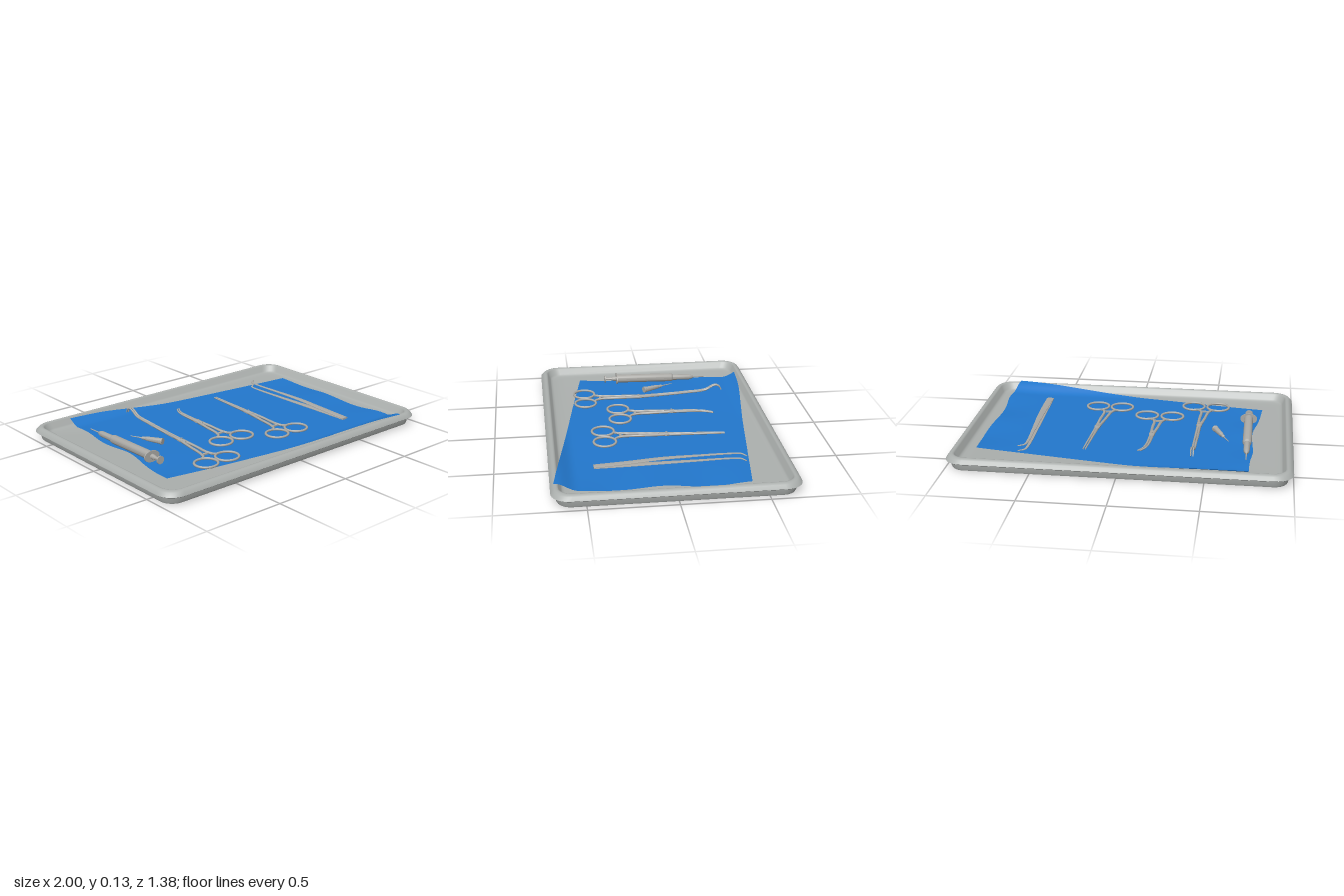
import * as THREE from 'three';
import { toCreasedNormals } from 'three/addons/utils/BufferGeometryUtils.js';

const trayMetal = new THREE.MeshStandardMaterial({ color: 0xabafad });
const steel = new THREE.MeshStandardMaterial({ color: 0xaaa9a5 });
const drapeBlue = new THREE.MeshStandardMaterial({ color: 0x2277cc, side: THREE.DoubleSide });

// Skin closed rings of points, capped at both ends
function loft(rings, crease = 0.7) {
  const n = rings[0].length, pos = [], idx = [];
  rings.forEach(r => r.forEach(p => pos.push(p.x, p.y, p.z)));
  for (let r = 0; r < rings.length - 1; r++) {
    for (let i = 0; i < n; i++) {
      const a = r * n + i, b = r * n + (i + 1) % n;
      idx.push(a, a + n, b, b, a + n, b + n);
    }
  }
  const last = (rings.length - 1) * n;
  for (let i = 1; i < n - 1; i++) {
    idx.push(0, i, i + 1, last, last + i + 1, last + i);
  }
  const g = new THREE.BufferGeometry();
  g.setAttribute('position', new THREE.Float32BufferAttribute(pos, 3));
  g.setIndex(idx);
  return toCreasedNormals(g, crease);
}

function add(parent, name, geometry, material = steel, x = 0, y = 0, z = 0) {
  const m = new THREE.Mesh(geometry, material);
  m.name = name;
  m.position.set(x, y, z);
  parent.add(m);
  return m;
}

// Oval bar along a path; each point is [x, y, z, halfWidth, halfHeight]
function bar(pts, steps = 28, sides = 8) {
  const curve = new THREE.CatmullRomCurve3(pts.map(p => new THREE.Vector3(p[0], p[1], p[2])));
  const rings = [];
  for (let k = 0; k <= steps; k++) {
    const t = k / steps, f = t * (pts.length - 1);
    const i = Math.min(Math.floor(f), pts.length - 2), q = f - i;
    const w = THREE.MathUtils.lerp(pts[i][3], pts[i + 1][3], q);
    const h = THREE.MathUtils.lerp(pts[i][4], pts[i + 1][4], q);
    const c = curve.getPoint(t), dir = curve.getTangent(t);
    const side = new THREE.Vector3().crossVectors(dir, new THREE.Vector3(0, 1, 0)).normalize();
    const up = new THREE.Vector3().crossVectors(side, dir);
    rings.push(Array.from({ length: sides }, (_, j) => {
      const a = (j + 0.5) / sides * Math.PI * 2;
      return c.clone().addScaledVector(side, w * Math.cos(a)).addScaledVector(up, h * Math.sin(a));
    }));
  }
  return loft(rings, 0.95);
}

// Rounded rectangle ring at height y
function roundedRing(hx, hz, r, y) {
  const ring = [], seg = 8;
  [[1, 1], [-1, 1], [-1, -1], [1, -1]].forEach(([sx, sz], q) => {
    for (let i = 0; i <= seg; i++) {
      const a = (q + i / seg) * Math.PI / 2;
      ring.push(new THREE.Vector3(sx * (hx - r) + r * Math.cos(a), y, sz * (hz - r) + r * Math.sin(a)));
    }
  });
  return ring;
}

// Tray: body wall, rolled rim, inner wall and floor; [inset, y, corner radius]
function makeTray() {
  const profile = [
    [0.045, 0, 0.07], [0.035, 0.004, 0.08], [0.03, 0.014, 0.085], [0.027, 0.04, 0.085], [0.025, 0.048, 0.085],
    [0.008, 0.049, 0.1], [0, 0.055, 0.105], [0.003, 0.061, 0.105], [0.014, 0.075, 0.1], [0.022, 0.081, 0.095],
    [0.032, 0.084, 0.09], [0.04, 0.083, 0.085], [0.046, 0.077, 0.08], [0.06, 0.045, 0.075],
    [0.068, 0.037, 0.07], [0.08, 0.034, 0.065], [0.108, 0.032, 0.05],
  ];
  return loft(profile.map(([d, y, r]) => roundedRing(1 - d, 0.692 - d, r, y)));
}

// Drape: a cloth sheet spanned between four edge curves, riding up the long walls
function makeDrape() {
  const edge = pts => new THREE.CatmullRomCurve3(pts.map(([x, z]) => new THREE.Vector3(x, 0, z)));
  const back = edge([[-0.745, -0.63], [-0.52, -0.615], [-0.28, -0.582], [0, -0.54], [0.43, -0.48], [0.868, -0.42]]);
  const front = edge([[-0.81, 0.43], [-0.4, 0.495], [0, 0.553], [0.43, 0.613], [0.84, 0.672]]);
  const left = edge([[-0.745, -0.63], [-0.75, -0.43], [-0.764, -0.27], [-0.755, 0], [-0.785, 0.2], [-0.81, 0.43]]);
  const right = edge([[0.868, -0.42], [0.876, -0.13], [0.856, 0.1], [0.86, 0.3], [0.872, 0.47], [0.84, 0.672]]);
  const g = new THREE.PlaneGeometry(1, 1, 60, 48), p = g.attributes.position, uv = g.attributes.uv;
  const v = new THREE.Vector3();
  for (let i = 0; i < p.count; i++) {
    const s = uv.getX(i), t = 1 - uv.getY(i);
    v.set(0, 0, 0)
      .addScaledVector(back.getPoint(s), 1 - t).addScaledVector(front.getPoint(s), t)
      .addScaledVector(left.getPoint(t), 1 - s).addScaledVector(right.getPoint(t), s)
      .addScaledVector(back.getPoint(0), -(1 - s) * (1 - t)).addScaledVector(back.getPoint(1), -s * (1 - t))
      .addScaledVector(front.getPoint(0), -(1 - s) * t).addScaledVector(front.getPoint(1), -s * t);
    const rim = THREE.MathUtils.smoothstep(Math.abs(v.z), 0.54, 0.66);
    const border = Math.pow(Math.abs(2 * s - 1), 6);
    const wave = 0.0015 * Math.sin(v.x * 5 + v.z * 3) + 0.006 * border * Math.sin(v.z * 13 + 1);
    p.setXYZ(i, v.x, 0.043 + 0.045 * rim + wave * (1 - rim), v.z);
  }
  g.computeVertexNormals();
  return g;
}

// Ring-handled forceps: two loops, two shanks, box lock and a pair of jaws
function makeForceps(name, loops, lock, jaw) {
  const g = new THREE.Group();
  g.name = name;
  const mid = (loops[0][0] + loops[1][0]) / 2;
  const [lx, lz] = lock;
  loops.forEach(([x, z], k) => {
    const s = k ? 1 : -1;
    const loop = new THREE.TorusGeometry(0.067, 0.0075, 8, 32);
    loop.rotateX(Math.PI / 2);
    add(g, 'fingerLoop', loop, steel, x, 0.054, z).scale.x = 1.04;
    add(g, 'shank', bar([
      [x + s * 0.01, 0.054, z - 0.066, 0.006, 0.006],
      [mid + s * 0.045, 0.056, z - 0.068, 0.008, 0.007],
      [mid + s * 0.024, 0.058, z - 0.105, 0.009, 0.008],
      [(mid + lx) / 2 + s * 0.016, 0.06, (z - 0.1 + lz) / 2, 0.009, 0.008],
      [lx + s * 0.007, 0.061, lz, 0.009, 0.009]]));
    const n = jaw.length;
    add(g, 'jaw', bar([[lx + s * 0.006, 0.061, lz, 0.009, 0.009],
      ...jaw.map(([px, py, pz], i) => {
        const w = 0.008 - 0.004 * (i + 1) / n;
        return [px + s * 0.007, py, pz, w, w];
      })]));
  });
  add(g, 'boxLock', bar([[lx, 0.061, lz + 0.045, 0.011, 0.009], [lx, 0.061, lz, 0.019, 0.012],
    [lx, 0.061, lz - 0.045, 0.012, 0.009]], 12));
  add(g, 'pivotScrew', new THREE.CylinderGeometry(0.007, 0.007, 0.006, 12), steel, lx, 0.073, lz);
  // Ratchet teeth between the shanks
  add(g, 'ratchet', new THREE.BoxGeometry(0.04, 0.008, 0.014), steel, mid, 0.058, loops[0][1] - 0.1);
  return g;
}

// Syringe lying along z, needle pointing to the back
function makeSyringe() {
  const g = new THREE.Group();
  g.name = 'syringe';
  const profile = [[0, -0.43], [0.003, -0.43], [0.004, -0.345], [0.011, -0.335], [0.018, -0.31], [0.019, -0.2],
    [0.024, -0.195], [0.027, -0.185], [0.027, 0.18], [0.016, 0.182], [0.014, 0.21], [0.009, 0.225], [0.009, 0.257],
    [0.024, 0.259], [0.024, 0.268], [0, 0.268]];
  const body = new THREE.LatheGeometry(profile.map(([r, z]) => new THREE.Vector2(r, z)), 20);
  body.rotateX(Math.PI / 2);
  add(g, 'barrelAndNeedle', toCreasedNormals(body, 0.6));
  const flange = new THREE.CylinderGeometry(0.034, 0.034, 0.007, 28);
  flange.rotateX(Math.PI / 2);
  add(g, 'fingerFlange', flange, steel, 0, 0, 0.185).scale.x = 1.55;
  g.position.set(-0.727, 0.073, 0);
  g.rotation.x = -0.02;
  return g;
}

// Spare needle with a tapered hub
function makeNeedle() {
  const profile = [[0, -0.11], [0.002, -0.11], [0.004, -0.035], [0.009, -0.03], [0.01, -0.005], [0.013, 0],
    [0.018, 0.095], [0.02, 0.097], [0.02, 0.108], [0, 0.108]];
  const g = new THREE.LatheGeometry(profile.map(([r, z]) => new THREE.Vector2(r, z)), 16);
  g.rotateX(Math.PI / 2);
  return toCreasedNormals(g, 0.6);
}

export function createModel() {
  const model = new THREE.Group();
  model.name = 'instrumentTray';
  add(model, 'tray', makeTray(), trayMetal);
  add(model, 'drape', makeDrape(), drapeBlue);

  // Long forceps with tips arched upward
  model.add(makeForceps('longForceps', [[-0.523, 0.42], [-0.367, 0.42]], [-0.423, 0.07], [
    [-0.422, 0.068, -0.08], [-0.42, 0.078, -0.24], [-0.419, 0.09, -0.37], [-0.418, 0.108, -0.405],
    [-0.418, 0.121, -0.435], [-0.418, 0.113, -0.463], [-0.418, 0.088, -0.478]]));
  // Curved forceps
  model.add(makeForceps('curvedForceps', [[-0.243, 0.222], [-0.082, 0.222]], [-0.148, -0.11], [
    [-0.144, 0.061, -0.2], [-0.138, 0.061, -0.27], [-0.125, 0.061, -0.325], [-0.1, 0.061, -0.37]]));
  // Straight forceps
  model.add(makeForceps('straightForceps', [[0.095, 0.345], [0.252, 0.345]], [0.2, -0.03], [
    [0.208, 0.061, -0.15], [0.215, 0.061, -0.26], [0.223, 0.061, -0.385]]));

  model.add(makeSyringe());
  add(model, 'spareNeedle', makeNeedle(), steel, -0.57, 0.066, -0.075).rotation.y = 0.43;

  // Tweezers: two springy blades, one above the other, with hooked tips
  const tweezers = new THREE.Group();
  tweezers.name = 'tweezers';
  [0, 1].forEach(k => add(tweezers, k ? 'upperBlade' : 'lowerBlade', bar([
    [0.59, 0.054 + k * 0.004, 0.437, 0.025, 0.004],
    [0.586, 0.053 + k * 0.015, 0.24, 0.023, 0.004],
    [0.579, 0.052 + k * 0.028, 0.04, 0.019, 0.004],
    [0.572, 0.051 + k * 0.031, -0.16, 0.013, 0.004],
    [0.567, 0.051 + k * 0.031, -0.34, 0.009, 0.004],
    [0.574, 0.051 + k * 0.031, -0.412, 0.007, 0.004],
    [0.61, 0.051 + k * 0.031, -0.44, 0.004, 0.003]], 40)));
  model.add(tweezers);
  return model;
}
